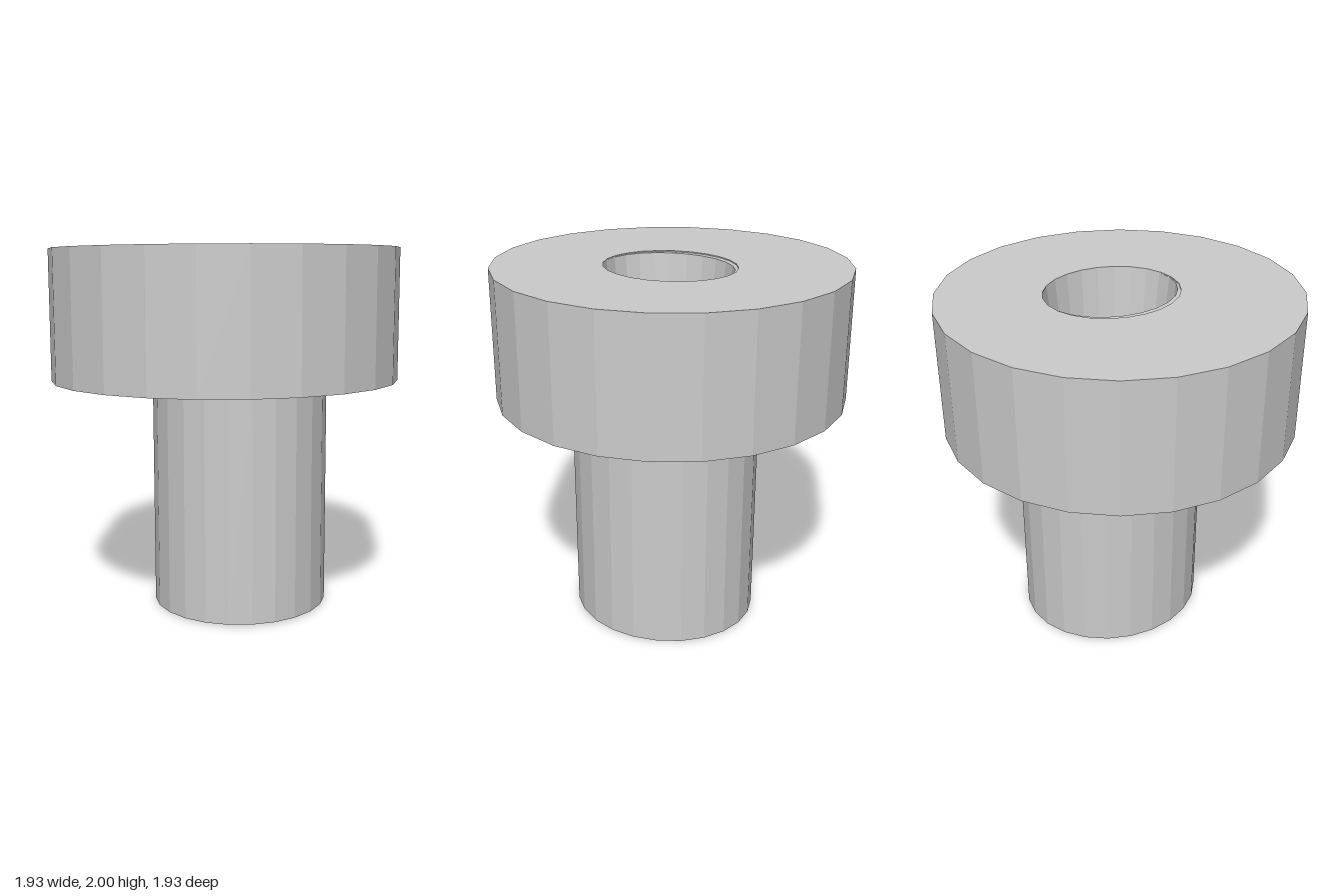
import * as THREE from 'three';

const SIDES = 24;

// Faceted skin through elliptical rings given as [y, centreX, centreZ, radiusX, radiusZ]
function loft(name, rings, material) {
  const point = ([y, cx, cz, rx, rz], j) => {
    const a = (j % SIDES) / SIDES * Math.PI * 2;
    return [cx + rx * Math.cos(a), y, cz + rz * Math.sin(a)];
  };
  const positions = [];
  for (let i = 0; i < rings.length - 1; i++) {
    for (let j = 0; j < SIDES; j++) {
      const a = point(rings[i], j), b = point(rings[i + 1], j);
      const c = point(rings[i + 1], j + 1), d = point(rings[i], j + 1);
      positions.push(...a, ...b, ...d, ...b, ...c, ...d);
    }
  }
  const geometry = new THREE.BufferGeometry();
  geometry.setAttribute('position', new THREE.Float32BufferAttribute(positions, 3));
  geometry.computeVertexNormals();
  const mesh = new THREE.Mesh(geometry, material);
  mesh.name = name;
  return mesh;
}

export function createModel() {
  const group = new THREE.Group();
  group.name = 'flangedBushing';
  const material = new THREE.MeshStandardMaterial({ color: 0xcccccc, flatShading: true });

  // Rings shared by neighbouring parts
  const shaft = [0.085, -0.018, 0.49, 0.53];
  const head = [0, 0, 0.966, 0.966];
  const opening = [0.046, -0.021, 0.335, 0.37];
  const boreTop = [0.064, -0.021, 0.318, 0.366];
  const boreBottom = [0.085, -0.022, 0.137, 0.152];

  const body = new THREE.Group();
  body.name = 'body';
  body.add(
    // Wide head with its underside and top opening
    loft('head', [[1.272, ...shaft], [1.272, ...head], [1.996, ...head], [1.996, ...opening], [1.99, ...opening]], material),
    // Oval off-centre shaft with its bottom face
    loft('shaft', [[0.003, ...boreBottom], [0.003, ...shaft], [1.272, ...shaft]], material),
    // Thin ledge and tapered through hole
    loft('bore', [[1.99, ...opening], [1.99, ...boreTop], [0.003, ...boreBottom]], material)
  );
  // Slight lean of the whole body
  body.rotation.set(-0.004, 0, 0.004);
  body.position.set(0.004, 0, 0.004);
  group.add(body);
  return group;
}
